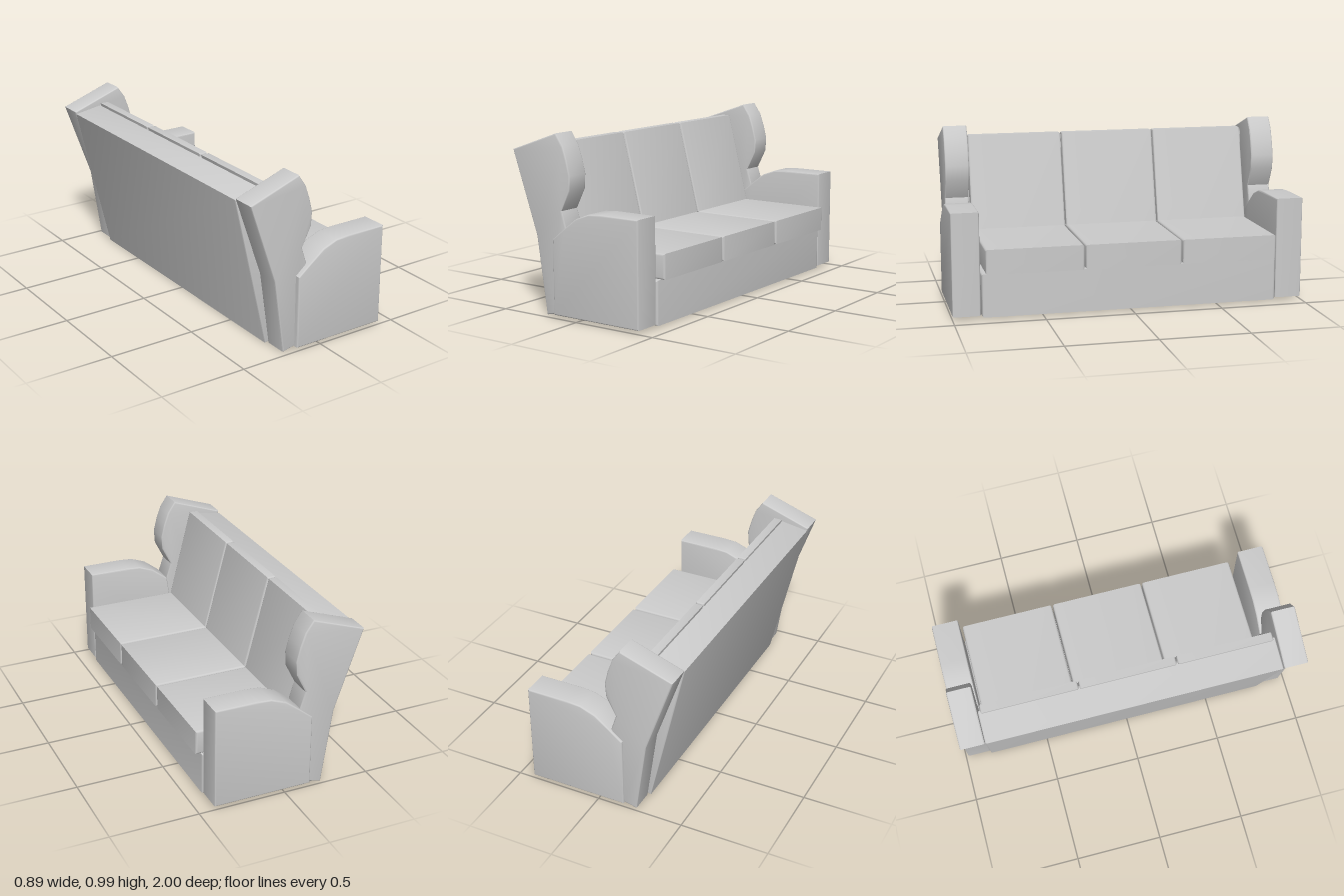
import * as THREE from 'three';
import { toCreasedNormals } from 'three/addons/utils/BufferGeometryUtils.js';

const material = new THREE.MeshStandardMaterial({ color: 0xcccccc });

// Upholstered block: a side profile (x, y) swept from z0 to z1 with softened edges
function pad(name, profile, z0, z1, soft = 0.008) {
  const shape = new THREE.Shape(profile.map(([x, y]) => new THREE.Vector2(x, y)));
  const geometry = new THREE.ExtrudeGeometry(shape, {
    depth: z1 - z0 - 2 * soft,
    bevelThickness: soft,
    bevelSize: soft,
    bevelOffset: -soft,
    bevelSegments: 3,
  });
  geometry.translate(0, 0, z0 + soft);
  const mesh = new THREE.Mesh(toCreasedNormals(geometry, 0.6), material);
  mesh.name = name;
  return mesh;
}

const rect = (x0, y0, x1, y1) => [[x0, y0], [x1, y0], [x1, y1], [x0, y1]];

const armProfile = [
  [-0.153, 0.018], [0.41, 0.018], [0.41, 0.593], [0.17, 0.593],
  [0.09, 0.587], [0.005, 0.555], [-0.08, 0.49], [-0.153, 0.43],
];

const wingProfile = [
  [-0.225, 0.003], [-0.15, 0.02], [-0.085, 0.49], [-0.115, 0.58], [-0.06, 0.69],
  [-0.055, 0.77], [-0.075, 0.85], [-0.102, 0.925], [-0.147, 0.99], [-0.447, 0.885],
  [-0.288, 0.43],
];

const backProfile = [[-0.24, 0], [-0.15, 0.02], [-0.265, 0.905], [-0.445, 0.875]];

const backCushionProfile = [[-0.2, 0.385], [-0.1, 0.385], [-0.237, 0.92], [-0.285, 0.92]];

export function createModel() {
  const sofa = new THREE.Group();
  sofa.name = 'sofa';

  // Arms and winged back ends
  sofa.add(
    pad('leftArm', armProfile, -1, -0.845),
    pad('rightArm', armProfile, 0.845, 1),
    pad('leftWing', wingProfile, -0.987, -0.85),
    pad('rightWing', wingProfile, 0.835, 0.972),
  );

  // Base and sloping back frame
  sofa.add(
    pad('base', rect(-0.16, 0.008, 0.413, 0.25), -0.843, 0.838, 0.012),
    pad('backFrame', backProfile, -0.848, 0.832),
  );

  // Three seat cushions with matching back cushions
  for (let i = 0; i < 3; i++) {
    const z0 = -0.833 + i * 0.553;
    const z1 = z0 + 0.546;
    sofa.add(
      pad(`seatCushion${i + 1}`, rect(-0.2, 0.253, 0.445, 0.392), z0, z1, 0.013),
      pad(`backCushion${i + 1}`, backCushionProfile, z0, z1, 0.01),
    );
  }
  return sofa;
}
